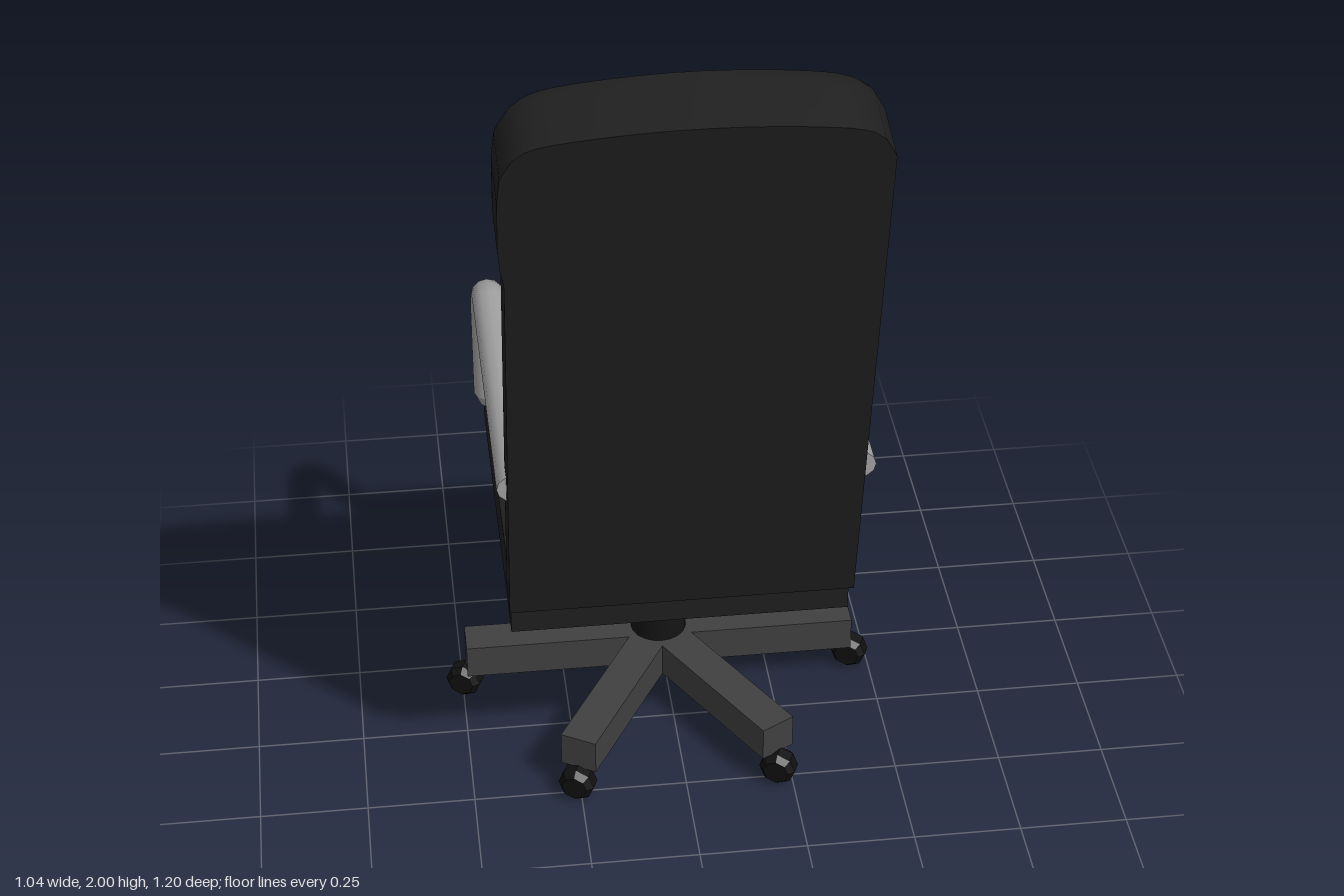
import * as THREE from 'three';
import { toCreasedNormals } from 'three/addons/utils/BufferGeometryUtils.js';

const CX = -0.02, CZ = -0.15; // swivel axis
const material = (color, flatShading = false) => new THREE.MeshStandardMaterial({ color, flatShading });
const black = material(0x1e1e1e);
const columnBlack = material(0x141414);
const wheelBlack = material(0x101010, true);
const legGrey = material(0x404040);
const armGrey = material(0xa0a0a0);

function add(parent, name, geometry, mat, x = 0, y = 0, z = 0) {
  const mesh = new THREE.Mesh(geometry, mat);
  mesh.name = name;
  mesh.position.set(x, y, z);
  parent.add(mesh);
  return mesh;
}

// Backrest: a box whose rows follow [height, thickness, bulge of the right edge]
function backrestGeometry() {
  const rows = [[0, 0.121, 0], [0.25, 0.123, 0], [0.5, 0.126, 0], [0.75, 0.128, 0], [0.999, 0.13, 0],
    [1.045, 0.15, 0.008], [1.093, 0.17, 0.012], [1.2, 0.174, 0.012], [1.3, 0.175, 0.012], [1.3875, 0.173, 0.006]];
  const n = rows.length - 1, half = 0.387, r = 0.035;
  const g = new THREE.BoxGeometry(2, 1, 1, 32, n, 12);
  const p = g.attributes.position;
  for (let i = 0; i < p.count; i++) {
    const u = p.getX(i);
    const [s, depth, bulge] = rows[Math.round((p.getY(i) + 0.5) * n)];
    const w = 1 - (p.getZ(i) + 0.5) ** 2; // 0 at the rear, 1 at the sitter's side
    const d = w * depth;
    // rounded vertical edges on the sitter's side
    const over = Math.max(0, d - (depth - r));
    const inset = r - Math.sqrt(Math.max(0, r * r - over * over));
    const width = half - inset + (u < 0 ? bulge : 0);
    // arched top
    const drop = 0.035 * u * u + 0.065 * Math.abs(u) ** 16;
    const arch = THREE.MathUtils.smoothstep(s, 1.1, 1.3875);
    p.setXYZ(i, u * width, s - drop * arch, -d);
  }
  return toCreasedNormals(g, 0.6);
}

// Seat: side profile with a rounded front edge, extruded across the width
function seatGeometry() {
  const s = new THREE.Shape();
  s.moveTo(-0.285, 0.52);
  s.lineTo(0.48, 0.52);
  s.bezierCurveTo(0.55, 0.52, 0.59, 0.54, 0.59, 0.575);
  s.lineTo(0.59, 0.605);
  s.bezierCurveTo(0.59, 0.64, 0.55, 0.655, 0.47, 0.655);
  s.lineTo(-0.285, 0.655);
  s.closePath();
  const g = new THREE.ExtrudeGeometry(s, { depth: 0.765, bevelEnabled: false, curveSegments: 8 });
  g.translate(0, 0, -0.3825);
  g.rotateY(Math.PI / 2); // profile x becomes -z
  return toCreasedNormals(g, 0.6);
}

// Armrest: horizontal tube bending down to the front of the seat
function armrest(parent, name, x) {
  const v = (y, z) => new THREE.Vector3(0, y, z);
  const path = new THREE.CurvePath();
  path.add(new THREE.LineCurve3(v(0.97, 0.36), v(0.97, -0.4)));
  path.add(new THREE.QuadraticBezierCurve3(v(0.97, -0.4), v(0.955, -0.505), v(0.86, -0.51)));
  path.add(new THREE.LineCurve3(v(0.86, -0.51), v(0.635, -0.51)));
  const arm = new THREE.Group();
  arm.name = name;
  arm.position.x = x;
  arm.scale.x = 1.13;
  add(arm, 'armTube', new THREE.TubeGeometry(path, 48, 0.034, 12), armGrey);
  add(arm, 'armRearCap', new THREE.CircleGeometry(0.034, 12), armGrey, 0, 0.97, 0.36);
  const foot = new THREE.CylinderGeometry(0.034, 0.022, 0.03, 12);
  add(arm, 'armFoot', foot, armGrey, 0, 0.62, -0.51);
  parent.add(arm);
}

export function createModel() {
  const chair = new THREE.Group();
  chair.name = 'officeChair';

  add(chair, 'seat', seatGeometry(), black, CX, 0, 0);
  const back = add(chair, 'backrest', backrestGeometry(), black, CX, 0.605, 0.325);
  back.rotation.x = 0.2;

  armrest(chair, 'leftArmrest', 0.36);
  armrest(chair, 'rightArmrest', -0.39);

  // Gas-lift column
  add(chair, 'columnSleeve', new THREE.CylinderGeometry(0.067, 0.067, 0.24, 20), columnBlack, CX, 0.255, CZ);
  add(chair, 'columnRod', new THREE.CylinderGeometry(0.046, 0.046, 0.2, 20), columnBlack, CX, 0.44, CZ);

  // Six-armed base with a caster under each tip
  const wheelProfile = [[0, -0.03], [0.03, -0.03], [0.043, -0.015], [0.043, 0.015], [0.03, 0.03], [0, 0.03]]
    .map(([r, y]) => new THREE.Vector2(r, y));
  const wheel = new THREE.LatheGeometry(wheelProfile, 8);
  wheel.rotateX(Math.PI / 2);
  const legGeometry = new THREE.BoxGeometry(0.47, 0.085, 0.088);
  legGeometry.translate(0.235, 0, 0);
  for (let i = 0; i < 6; i++) {
    const a = i * Math.PI / 3;
    const leg = add(chair, 'baseLeg', legGeometry, legGrey, CX, 0.1225, CZ);
    leg.rotation.y = a;
    const caster = add(chair, 'caster', wheel, wheelBlack,
      CX + 0.475 * Math.cos(a), 0.043, CZ - 0.475 * Math.sin(a));
    caster.rotation.y = -0.4;
  }
  return chair;
}
